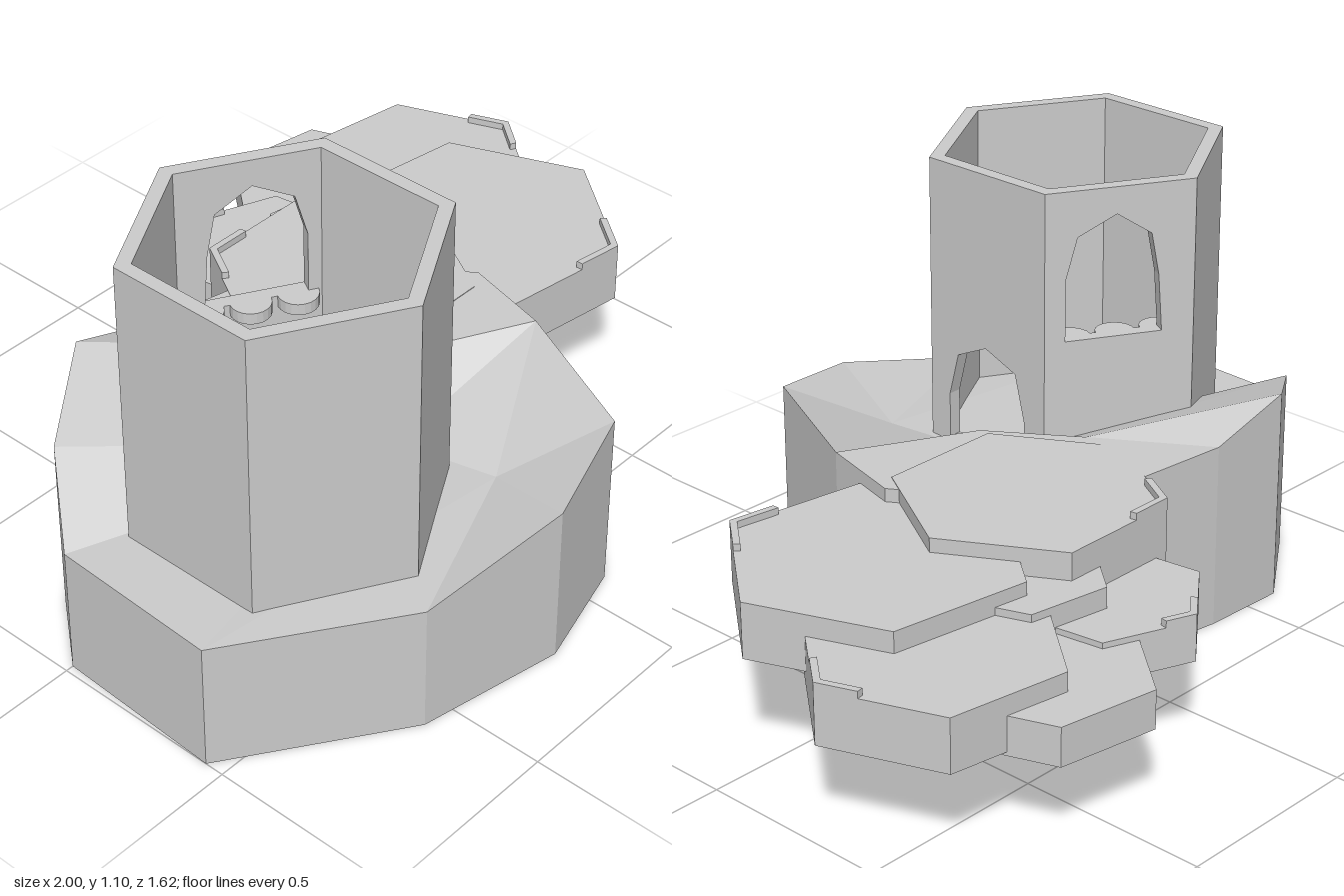
import * as THREE from 'three';

const material = new THREE.MeshStandardMaterial({ color: 0xcccccc, flatShading: true, side: THREE.DoubleSide });

function addMesh(parent, name, geometry) {
  const mesh = new THREE.Mesh(geometry, material);
  mesh.name = name;
  parent.add(mesh);
  return mesh;
}

// Upright prism over an outline of [x, z] points
function prism(points, y0, y1) {
  const shape = new THREE.Shape(points.map(([x, z]) => new THREE.Vector2(x, -z)));
  const geometry = new THREE.ExtrudeGeometry(shape, { depth: y1 - y0, bevelEnabled: false });
  return geometry.rotateX(-Math.PI / 2).translate(0, y0, 0);
}

// Rocky mound: open-bottomed shell with a faceted, uneven top
function moundGeometry() {
  const rim = [
    [-1, 0.345, 0.45], [-0.58, 0.345, 0.735], [-0.2, 0.43, 0.81], [0.09, 0.48, 0.73],
    [0.27, 0.48, 0.35], [0.33, 0.48, 0.12], [0.2, 0.48, -0.09], [-0.13, 0.48, -0.29],
    [-0.37, 0.49, -0.33], [-0.6, 0.56, -0.34], [-0.84, 0.48, -0.17], [-0.98, 0.345, 0],
  ];
  const n = rim.length;
  const inner = [[-0.21, 0.48, -0.04], [-0.06, 0.48, 0.18], [-0.18, 0.345, 0.3], [-0.13, 0.355, 0.56]];
  const foot = rim.map(([x, , z]) => [x, 0, z]);
  const [A, B, C, D] = [n, n + 1, n + 2, n + 3];
  const index = [
    0, 1, D, 1, 2, D, 2, 3, D, 3, 4, D, 4, C, D, 4, 5, B, 4, B, C, 5, 6, B, 6, A, B,
    6, 7, A, 7, 8, A, 8, 9, A, 9, 10, A, 10, C, A, A, C, B, 10, 11, C, 11, 0, C, 0, D, C,
  ];
  const f = n + inner.length;
  for (let i = 0; i < n; i++) {
    const j = (i + 1) % n;
    index.push(f + i, f + j, j, f + i, j, i);
  }
  const geometry = new THREE.BufferGeometry();
  geometry.setAttribute('position', new THREE.Float32BufferAttribute([...rim, ...inner, ...foot].flat(), 3));
  geometry.setIndex(index);
  const flat = geometry.toNonIndexed();
  flat.computeVertexNormals();
  return flat;
}

// Hexagonal tower: six mitred wall panels, some with a pointed opening
const APOTHEM = 0.335, WALL = 0.035, SIDE = 2 * APOTHEM / Math.sqrt(3);

function wallGeometry(opening) {
  const h = SIDE / 2;
  const shape = new THREE.Shape([[-h, 0.335], [h, 0.335], [h, 1.1], [-h, 1.1]].map(p => new THREE.Vector2(...p)));
  if (opening) shape.holes.push(new THREE.Path(opening.map(p => new THREE.Vector2(...p))));
  const geometry = new THREE.ExtrudeGeometry(shape, { depth: WALL, bevelEnabled: false });
  geometry.translate(0, 0, APOTHEM - WALL);
  const p = geometry.attributes.position;
  for (let i = 0; i < p.count; i++) {
    // Mitre the ends so neighbouring panels meet cleanly
    if (Math.abs(p.getX(i)) > h - 0.001) p.setX(i, Math.sign(p.getX(i)) * p.getZ(i) / Math.sqrt(3));
  }
  geometry.computeVertexNormals();
  return geometry;
}

function createTower() {
  const tower = new THREE.Group();
  tower.name = 'tower';
  tower.position.set(-0.505, 0, 0.258);
  const door = [[-0.13, 0.36], [0.125, 0.36], [0.125, 0.48], [0.095, 0.6], [-0.005, 0.64], [-0.1, 0.595], [-0.13, 0.48]];
  const arch = [[-0.14, 0.71], [0.11, 0.71], [0.1, 0.86], [0.08, 0.97], [-0.01, 1.03], [-0.11, 0.98], [-0.14, 0.87]];
  for (let k = 0; k < 6; k++) {
    const opening = k === 1 ? door : k === 2 ? arch : null;
    const name = k === 1 ? 'doorWall' : k === 2 ? 'windowWall' : 'towerWall';
    addMesh(tower, name, wallGeometry(opening)).rotation.y = Math.PI / 6 + k * Math.PI / 3;
  }
  // Scalloped ledge inside, under the window
  const ledge = new THREE.Group();
  ledge.name = 'windowLedge';
  ledge.rotation.y = Math.PI * 5 / 6;
  for (const x of [-0.115, 0, 0.115]) {
    const disc = new THREE.CylinderGeometry(0.05, 0.05, 0.03, 10, 1, false, -Math.PI / 2, Math.PI);
    disc.rotateY(Math.PI);
    addMesh(ledge, 'ledgeScallop', disc).position.set(x, 0.695, APOTHEM - WALL);
  }
  tower.add(ledge);
  return tower;
}

// Hexagonal stepping slab, with an optional low lip wrapped round one corner
function createSlab({ name, x, z, r, turn, y0, y1, lip }) {
  const slab = new THREE.Group();
  slab.name = name;
  const corner = (k, s = 1) => {
    const a = turn + k * Math.PI / 3;
    return [x + r * s * Math.cos(a), z + r * s * Math.sin(a)];
  };
  addMesh(slab, 'slabBody', prism([0, 1, 2, 3, 4, 5].map(k => corner(k)), y0, y1));
  if (lip !== undefined) {
    const along = (k, s) => {
      const a = corner(lip, s), b = corner(k, s);
      return [a[0] + (b[0] - a[0]) * 0.33, a[1] + (b[1] - a[1]) * 0.33];
    };
    const s = 1 - 0.02 / r;
    const outline = [along(lip - 1, 1), corner(lip), along(lip + 1, 1), along(lip + 1, s), corner(lip, s), along(lip - 1, s)];
    addMesh(slab, 'slabLip', prism(outline, y1, y1 + 0.018));
  }
  return slab;
}

export function createModel() {
  const model = new THREE.Group();
  model.name = 'towerOnMound';
  addMesh(model, 'mound', moundGeometry());
  model.add(createTower());
  const slabs = [
    { name: 'terraceSlab', x: 0.11, z: -0.14, r: 0.335, turn: 0, y0: 0.33, y1: 0.482, lip: 4 },
    { name: 'frontSlab', x: 0.535, z: -0.055, r: 0.373, turn: 0.15, y0: 0.3, y1: 0.445, lip: 1 },
    { name: 'outerSlab', x: 0.68, z: -0.38, r: 0.32, turn: 0.16, y0: 0.25, y1: 0.39, lip: 0 },
    { name: 'backSlab', x: 0.52, z: -0.567, r: 0.264, turn: 0.17, y0: 0.24, y1: 0.34 },
    { name: 'lowSlab', x: 0.185, z: -0.46, r: 0.24, turn: -1.716, y0: 0.25, y1: 0.355, lip: 0 },
    { name: 'middleSlab', x: 0.32, z: -0.305, r: 0.217, turn: 0.17, y0: 0.3, y1: 0.41 },
  ];
  for (const slab of slabs) model.add(createSlab(slab));
  return model;
}
